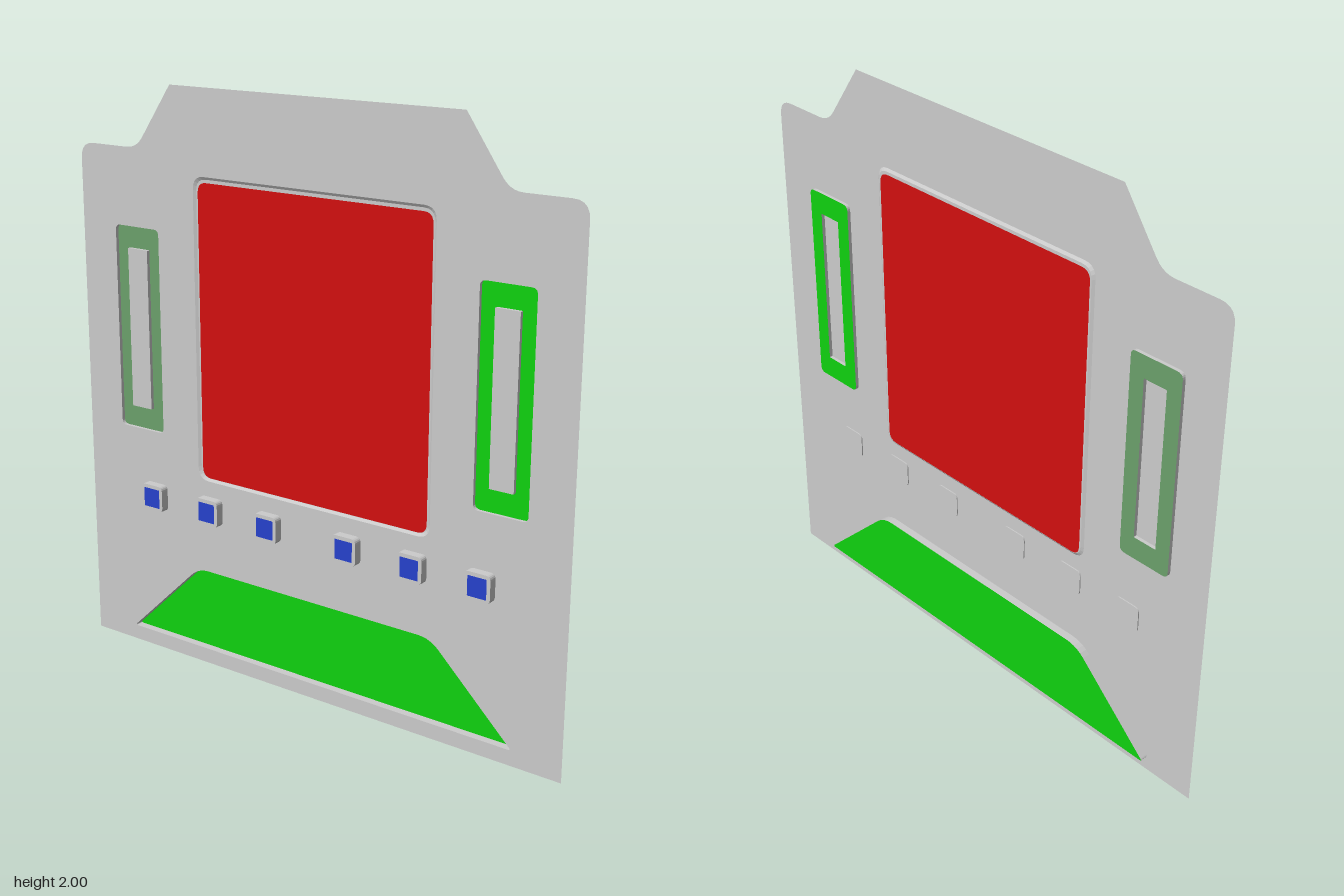
import * as THREE from 'three';

const paint = (color) => new THREE.MeshStandardMaterial({ color, side: THREE.DoubleSide });
const grey = paint(0xcccccc);
const pale = paint(0xe0e0e0);
const red = paint(0xd21010);
const green = paint(0x10d210);
const dullGreen = paint(0x6ba06b);
const blue = paint(0x2641cc);

// Polygon with rounded corners; each corner is [x, y, radius]
function roundedOutline(corners, steps = 5) {
  const pts = [];
  corners.forEach(([x, y, r], i) => {
    const c = new THREE.Vector2(x, y);
    const toward = ([px, py]) => new THREE.Vector2(px, py).sub(c).setLength(r).add(c);
    const a = toward(corners[(i + corners.length - 1) % corners.length]);
    const b = toward(corners[(i + 1) % corners.length]);
    pts.push(...new THREE.QuadraticBezierCurve(a, c, b).getPoints(steps));
  });
  return pts;
}

const rect = (x, y, w, h, r) => roundedOutline([
  [x - w / 2, y - h / 2, r], [x + w / 2, y - h / 2, r],
  [x + w / 2, y + h / 2, r], [x - w / 2, y + h / 2, r],
]);

// Flat face at depth z, with optional holes
function face(name, outline, z, material, holes = []) {
  const shape = new THREE.Shape(outline);
  holes.forEach((h) => shape.holes.push(new THREE.Path(h)));
  const mesh = new THREE.Mesh(new THREE.ShapeGeometry(shape), material);
  mesh.position.z = z;
  mesh.name = name;
  return mesh;
}

// Wall joining two outlines of equal point count
function wall(name, a, za, b, zb, material) {
  const pos = [];
  for (let i = 0; i < a.length; i++) {
    const j = (i + 1) % a.length;
    const a0 = [a[i].x, a[i].y, za], a1 = [a[j].x, a[j].y, za];
    const b0 = [b[i].x, b[i].y, zb], b1 = [b[j].x, b[j].y, zb];
    pos.push(...b0, ...b1, ...a1, ...b0, ...a1, ...a0);
  }
  const geo = new THREE.BufferGeometry();
  geo.setAttribute('position', new THREE.Float32BufferAttribute(pos, 3));
  geo.computeVertexNormals();
  const mesh = new THREE.Mesh(geo, material);
  mesh.name = name;
  return mesh;
}

function part(name, ...meshes) {
  const group = new THREE.Group();
  group.name = name;
  group.add(...meshes);
  return group;
}

export function createModel() {
  const model = new THREE.Group();
  model.name = 'controlPanel';
  const openings = [];

  // Recessed screen with a narrow bezel
  const bezelOuter = rect(0, 1.198, 0.93, 1.036, 0.045);
  const bezelInner = rect(0, 1.198, 0.912, 1.018, 0.04);
  const screenEdge = rect(0, 1.193, 0.9, 1.006, 0.035);
  openings.push(bezelOuter);
  model.add(part('screen',
    wall('bezelWall', bezelOuter, 0, bezelInner, -0.006, grey),
    face('bezel', bezelInner, -0.006, grey, [screenEdge]),
    face('screenFace', screenEdge, -0.006, red)));

  // Side slots: shallow coloured frame around a pale window
  for (const [name, x, color] of [['leftSlot', 0.711, green], ['rightSlot', -0.715, dullGreen]]) {
    const outer = rect(x, 1.166, 0.19, 0.708, 0.02);
    const inner = rect(x, 1.167, 0.085, 0.555, 0.002);
    openings.push(outer);
    model.add(part(name,
      wall('slotWall', outer, 0, outer, -0.012, grey),
      face('slotFrame', outer, -0.012, color, [inner]),
      wall('windowWall', inner, 0, inner, -0.012, grey),
      face('window', inner, 0, pale)));
  }

  // Deep trapezoid tray along the bottom
  const tray = roundedOutline([
    [-0.78, 0.053, 0.012], [0.78, 0.053, 0.012], [0.475, 0.348, 0.045], [-0.475, 0.348, 0.045],
  ]);
  openings.push(tray);
  model.add(part('tray',
    wall('trayWall', tray, 0, tray, -0.028, grey),
    face('trayFloor', tray, -0.028, green)));

  // Row of six raised buttons
  for (const side of [-1, 1]) {
    for (const offset of [0.16, 0.41, 0.656]) {
      const x = side * offset;
      const outer = rect(x, 0.578, 0.094, 0.094, 0.018);
      const cap = rect(x, 0.578, 0.068, 0.068, 0.002);
      openings.push(outer);
      model.add(part('button',
        wall('buttonWall', outer, 0.03, outer, -0.004, grey),
        face('buttonRim', outer, 0.03, grey, [cap]),
        face('buttonCap', cap, 0.03, blue),
        face('buttonBack', outer, -0.004, grey)));
    }
  }

  // Thin backing sheet with stepped top
  const sheet = roundedOutline([
    [-0.956, 0, 0.001], [0.956, 0, 0.001], [0.956, 1.785, 0.055], [0.705, 1.785, 0.045],
    [0.555, 2, 0.001], [-0.555, 2, 0.001], [-0.705, 1.785, 0.045], [-0.956, 1.785, 0.055],
  ]);
  model.add(face('panel', sheet, 0, grey, openings));

  return model;
}
